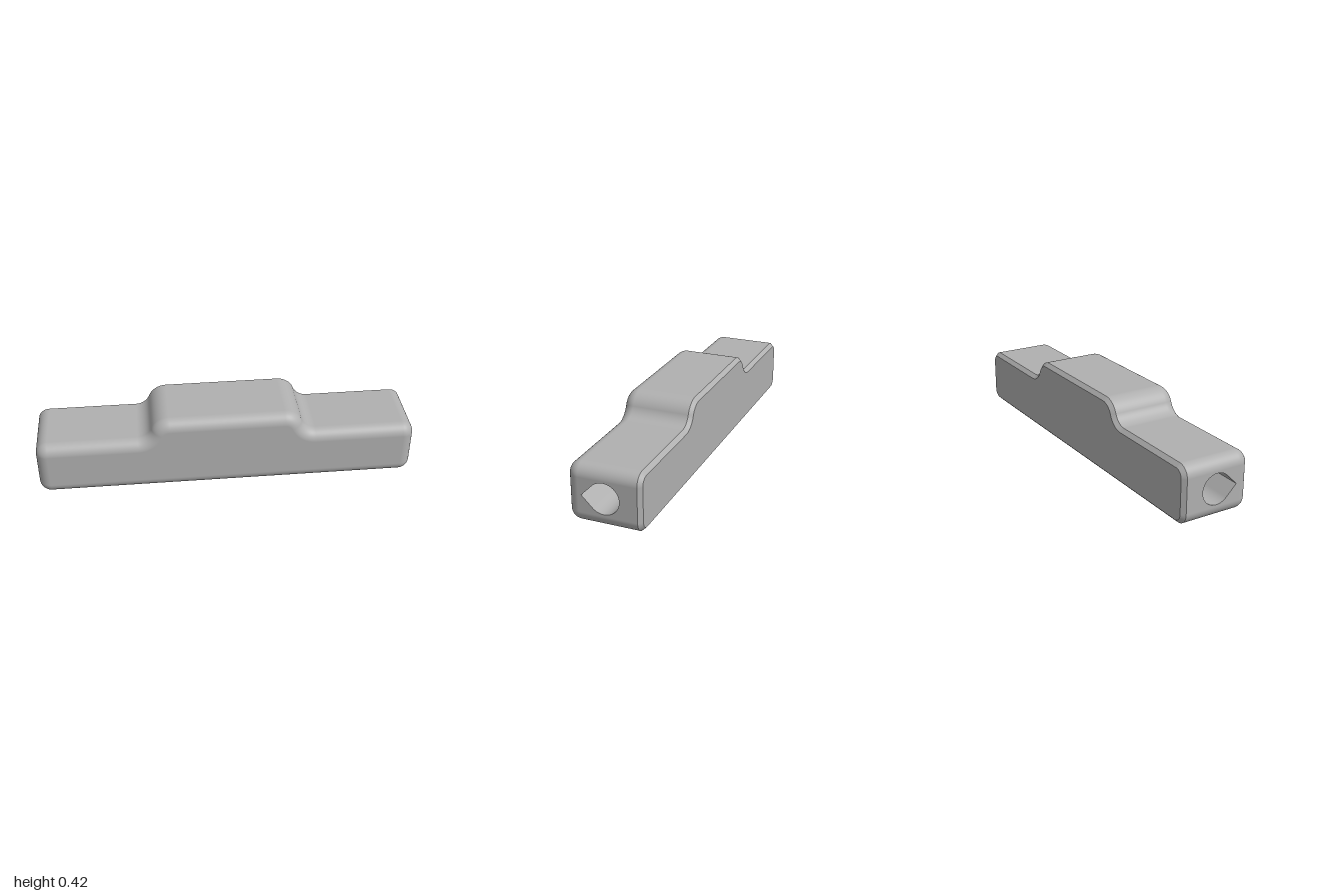
import * as THREE from 'three';

const END = 1, BACK = -0.19, FRONT = 0.19, CHAMFER = 0.02, FILLET = 0.06;
const HOLE_Y = 0.152, HOLE_R = 0.08, POCKET_R = 0.126, POCKET_DEPTH = 0.03;

// Points on an arc with outward normals; side -1 makes a concave arc.
function arc(cx, cy, r, from, to, side = 1, steps = 12) {
  return Array.from({ length: steps + 1 }, (_, i) => {
    const a = from + (to - from) * i / steps, nx = Math.cos(a), ny = Math.sin(a);
    return { x: cx + side * r * nx, y: cy + side * r * ny, nx, ny };
  });
}

// Stepped outline of the block, counter-clockwise
function bodyOutline() {
  const q = Math.PI / 2, r = 0.062, lean = Math.asin(0.065 / 0.18);
  const half = [
    ...arc(END - r, r, r, -q, 0),
    ...arc(END - r, 0.302 - r, r, 0, q),
    ...arc(0.47, 0.382, 0.08, q, lean, -1),
    ...arc(0.302, 0.317, 0.1, lean, q).slice(1),
  ];
  const mirrored = half.map(p => ({ ...p, x: -p.x, nx: -p.nx })).reverse();
  return [...half, ...mirrored];
}

// Sweep an outline along z. Each row has z, an inset and a tilt of the normals.
function sweep(outline, rows, skip = () => false) {
  const pos = [], nor = [], idx = [], n = outline.length;
  for (const { z, inset = 0, tilt = 0 } of rows) {
    for (const p of outline) {
      pos.push(p.x - p.nx * inset, p.y - p.ny * inset, z);
      nor.push(p.nx * Math.cos(tilt), p.ny * Math.cos(tilt), Math.sin(tilt));
    }
  }
  for (let k = 0; k < rows.length - 1; k++) {
    for (let i = 0; i < n; i++) {
      const j = (i + 1) % n, a = k * n + i, b = k * n + j;
      if (skip(outline[i], outline[j])) continue;
      idx.push(a, b, a + n, b, b + n, a + n);
    }
  }
  const g = new THREE.BufferGeometry();
  g.setAttribute('position', new THREE.Float32BufferAttribute(pos, 3));
  g.setAttribute('normal', new THREE.Float32BufferAttribute(nor, 3));
  g.setIndex(idx);
  return g;
}

const toVectors = (outline, inset = 0, flip = 1) =>
  outline.map(p => new THREE.Vector2((p.x - p.nx * inset) * flip, p.y - p.ny * inset));

// Turn an outline inside out, for the walls of holes
const inward = outline => outline.map(p => ({ ...p, nx: -p.nx, ny: -p.ny })).reverse();

// Flat rectangle with one hole
function panel(x0, y0, x1, y1, holePoints) {
  const s = new THREE.Shape([[x0, y0], [x1, y0], [x1, y1], [x0, y1]].map(p => new THREE.Vector2(...p)));
  s.holes.push(new THREE.Path(holePoints));
  return new THREE.ShapeGeometry(s);
}

export function createModel() {
  const group = new THREE.Group();
  const grey = new THREE.MeshStandardMaterial({ color: 0xb0b0b0 });
  grey.name = 'grey';
  const add = (name, geometry) => {
    const m = new THREE.Mesh(geometry, grey);
    m.name = name;
    group.add(m);
  };
  const outline = bodyOutline();
  const z0 = BACK + CHAMFER, z1 = FRONT - FILLET, r = 0.062;

  // Straight walls, leaving out the ends and the underside, which have holes
  const holed = (p, q) => Math.abs(p.nx - q.nx) + Math.abs(p.ny - q.ny) < 1e-6
    && (Math.abs(p.nx) > 0.99 || p.ny < -0.99);
  add('bodyWalls', sweep(outline, [{ z: z0 }, { z: z1 }], holed));

  // Rounded front edge and chamfered back edge
  const rows = Array.from({ length: 13 }, (_, i) => {
    const tilt = Math.PI / 2 * i / 12;
    return { z: z1 + FILLET * Math.sin(tilt), inset: FILLET * (1 - Math.cos(tilt)), tilt };
  });
  add('frontRoundedEdge', sweep(outline, rows));
  const slant = -Math.PI / 4;
  add('backChamfer', sweep(outline, [{ z: BACK, inset: CHAMFER, tilt: slant }, { z: z0, tilt: slant }]));

  // Front and back faces
  const face = inset => new THREE.ShapeGeometry(new THREE.Shape(toVectors(outline, inset)));
  add('frontFace', face(FILLET).translate(0, 0, FRONT));
  add('backFace', face(CHAMFER).rotateY(Math.PI).translate(0, 0, BACK));

  // Teardrop tunnel from end to end, its point towards the front
  const round = arc(0, 0, HOLE_R, Math.PI / 4, Math.PI * 7 / 4, 1, 48);
  const tip = { x: HOLE_R * Math.SQRT2, y: 0 };
  const teardrop = [...round, { ...round[48], ...tip }, { ...round[0], ...tip }];
  add('teardropTunnel', sweep(inward(teardrop), [{ z: -END }, { z: END }])
    .rotateY(-Math.PI / 2).translate(0, HOLE_Y, 0));

  // End faces around the tunnel
  for (const side of [1, -1]) {
    const hole = toVectors(teardrop.slice(0, -1), 0, -side);
    hole.forEach(p => { p.y += HOLE_Y; });
    add(side > 0 ? 'leftEnd' : 'rightEnd', panel(-side * z0, r, -side * z1, 0.302 - r, hole)
      .rotateY(side * Math.PI / 2).translate(side * END, 0, 0));
  }

  // Underside with a shallow round pocket
  const circle = arc(0, 0, POCKET_R, 0, Math.PI * 2, 1, 64).slice(0, -1);
  add('underside', panel(-END + r, z0, END - r, z1, toVectors(circle)).rotateX(Math.PI / 2));
  add('pocketWall', sweep(inward(circle), [{ z: 0 }, { z: POCKET_DEPTH }]).rotateX(-Math.PI / 2));
  add('pocketCeiling', new THREE.CircleGeometry(POCKET_R, 64).rotateX(Math.PI / 2).translate(0, POCKET_DEPTH, 0));

  return group;
}
